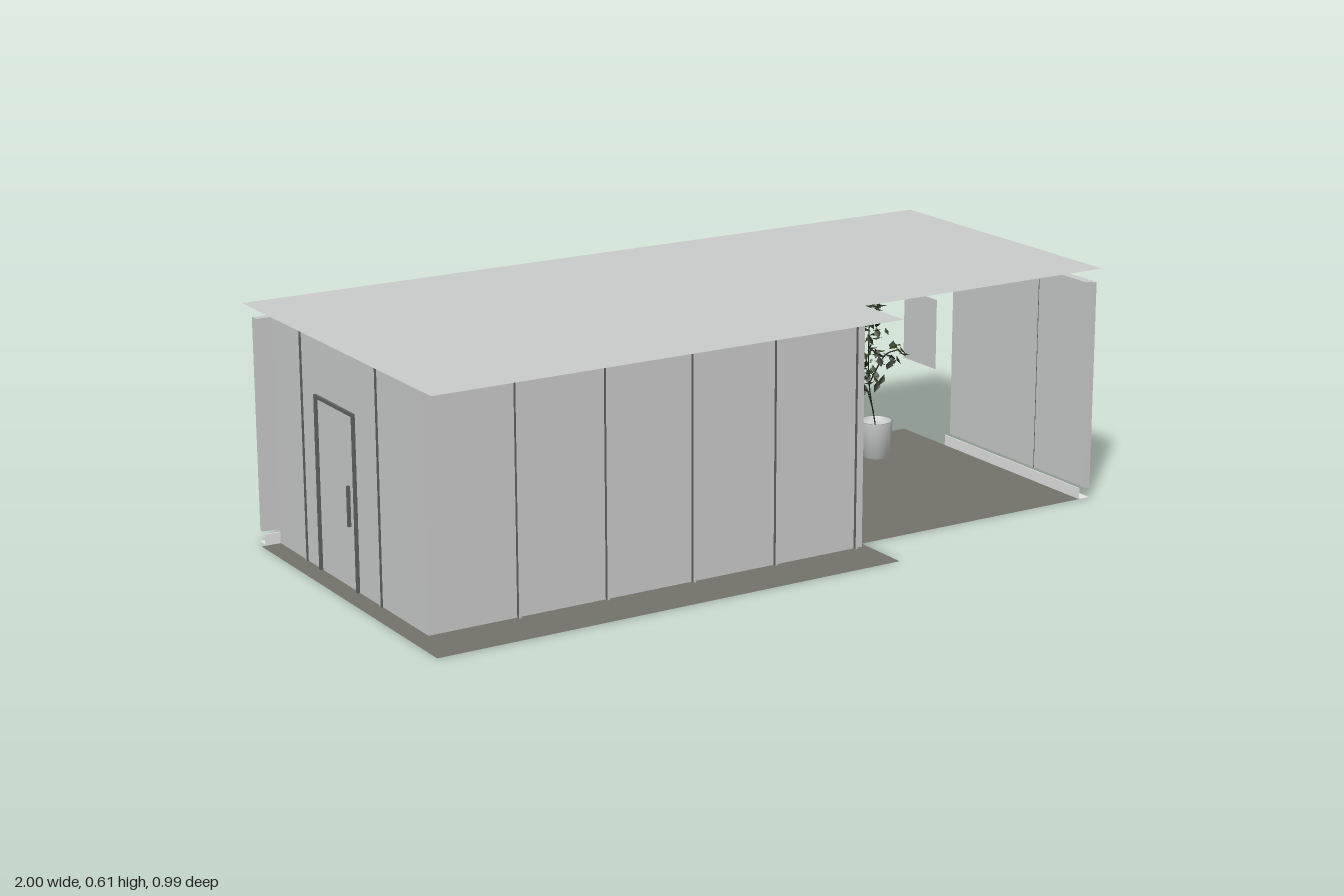
import * as THREE from 'three';

export function createModel() {
  const root = new THREE.Group();
  const mat = (name, color, side = THREE.FrontSide) => {
    const m = new THREE.MeshStandardMaterial({ color, side });
    m.name = name;
    return m;
  };
  const wall = mat('wallGrey', 0xcacccb, THREE.DoubleSide);
  const trim = mat('paleTrim', 0xe4e5e4, THREE.DoubleSide);
  const ground = mat('floorGrey', 0x73726a, THREE.DoubleSide);
  const seam = mat('seamGrey', 0x606261);
  const leafDark = mat('leafDark', 0x1e2416, THREE.DoubleSide);
  const leafGreen = mat('leafGreen', 0x2c381c, THREE.DoubleSide);

  const add = (name, geo, material, parent = root) => {
    const m = new THREE.Mesh(geo, material);
    m.name = name;
    parent.add(m);
    return m;
  };
  // Box given by its two opposite corners
  const box = (name, x0, x1, y0, y1, z0, z1, material = wall, parent = root) => {
    const m = add(name, new THREE.BoxGeometry(x1 - x0, y1 - y0, z1 - z0), material, parent);
    m.position.set((x0 + x1) / 2, (y0 + y1) / 2, (z0 + z1) / 2);
    return m;
  };
  // Flat horizontal sheet from plan corners [x, z]
  const sheet = (name, pts, y, material) => {
    const shape = new THREE.Shape(pts.map(([x, z]) => new THREE.Vector2(x, -z)));
    const g = new THREE.ShapeGeometry(shape);
    g.rotateX(-Math.PI / 2);
    add(name, g, material).position.y = y;
  };

  // Roof and floor with the stepped plan
  sheet('roof', [[-1, 0.49], [0.265, 0.49], [0.265, 0.33], [1, 0.33], [1, -0.5], [-1, -0.5]], 0.606, wall);
  sheet('floor', [[-1, 0.49], [0.265, 0.49], [0.265, 0.33], [0.95, 0.33], [0.95, -0.44], [-1, -0.44]], 0, ground);

  // Enclosed room: front, inner side and entrance walls
  const H = 0.604;
  box('frontWall', -0.95, 0.25, 0.001, H, 0.345, 0.352);
  box('innerSideWall', 0.243, 0.25, 0.001, H, -0.44, 0.345);
  box('entranceWall', -0.95, -0.943, 0.001, H, -0.44, 0.345);

  // Slim joint ribs: wall-coloured face, dark flanks
  const ribZ = [seam, seam, wall, wall, wall, wall];
  const ribX = [wall, wall, wall, wall, seam, seam];
  for (const x of [-0.717, -0.48, -0.242, -0.008, 0.228])
    box('frontRib', x - 0.003, x + 0.003, 0.001, H, 0.352, 0.361, ribZ);
  for (const z of [-0.28, 0.12])
    box('entranceRib', -0.956, -0.95, 0.001, H, z - 0.003, z + 0.003, ribX);

  // Entrance door frame and handle
  const door = new THREE.Group();
  door.name = 'door';
  root.add(door);
  for (const z of [-0.2, 0])
    box('doorJamb', -0.957, -0.95, 0.001, 0.44, z - 0.004, z + 0.004, seam, door);
  box('doorHead', -0.957, -0.95, 0.432, 0.44, -0.2, 0, seam, door);
  box('doorHandle', -0.964, -0.957, 0.16, 0.26, -0.026, -0.018, seam, door);

  // Hanging panels along the back
  const backSeams = [-0.99, -0.655, -0.295, 0.064, 0.752];
  for (let i = 0; i < 4; i++)
    box('backPanel', backSeams[i] + 0.003, backSeams[i + 1] - 0.003, 0.03, 0.575, -0.474, -0.462);
  for (const x of backSeams.slice(1, 4))
    box('backJoint', x - 0.006, x + 0.006, 0.03, 0.575, -0.476, -0.46, ribZ);
  box('backTopRail', -0.99, 0.752, 0.565, 0.578, -0.456, -0.44);
  box('backSill', -0.99, 0.752, 0.001, 0.03, -0.442, -0.438, trim);
  box('backLedge', -0.99, 0.752, 0, 0.003, -0.474, -0.442, trim);
  // Inner beams above the terrace
  for (const [a, b] of [[0.25, 0.385], [0.395, 0.745]])
    box('terraceBeam', a, b, 0.535, 0.565, -0.45, -0.44);

  // Hanging panels along the right end
  const sideSeams = [-0.248, 0.116, 0.337];
  for (let i = 0; i < 2; i++)
    box('sidePanel', 0.965, 0.978, 0.03, 0.575, sideSeams[i] + (i ? 0.003 : 0), sideSeams[i + 1] - (i ? 0 : 0.003));
  box('sideJoint', 0.963, 0.981, 0.03, 0.575, 0.11, 0.122, ribX);
  box('sideTopRail', 0.945, 0.965, 0.565, 0.578, -0.248, 0.337);
  box('sideSill', 0.948, 0.951, 0.001, 0.03, -0.248, 0.33, trim);
  box('sideLedge', 0.951, 0.978, 0, 0.003, -0.248, 0.337, trim);

  // Thin free-hanging board at the open corner
  box('hangingBoard', 0.944, 0.946, 0.206, 0.4, -0.441, -0.295);

  // Potted plant
  const plant = new THREE.Group();
  plant.name = 'plant';
  plant.position.set(0.73, 0, -0.268);
  root.add(plant);
  const potProfile = [[0, 0.001], [0.037, 0.001], [0.046, 0.1], [0.041, 0.1], [0.039, 0.085], [0, 0.085]];
  add('pot', new THREE.LatheGeometry(potProfile.map(([x, y]) => new THREE.Vector2(x, y)), 24), wall, plant);
  const V = (x, y, z) => new THREE.Vector3(x, y, z);
  const stems = [
    [V(0, 0.08, 0), V(-0.01, 0.2, -0.02), V(-0.02, 0.33, -0.01), V(-0.01, 0.44, -0.02)],
    [V(-0.01, 0.2, -0.02), V(0.03, 0.28, 0), V(0.06, 0.29, 0.01)],
    [V(0, 0.12, -0.01), V(-0.01, 0.19, -0.04), V(-0.01, 0.18, -0.07)],
  ];
  for (const s of stems)
    add('stem', new THREE.TubeGeometry(new THREE.CatmullRomCurve3(s), 12, 0.0018, 5), leafDark, plant);

  // Folded pointed leaf, base at the origin, tip along +y
  const leafGeo = new THREE.BufferGeometry();
  leafGeo.setAttribute('position', new THREE.Float32BufferAttribute(
    [0, 0, 0, 0.3, 0.45, 0.1, 0, 1, 0, -0.3, 0.45, 0.1], 3));
  leafGeo.setIndex([0, 1, 2, 0, 2, 3]);
  leafGeo.computeVertexNormals();

  let seed = 11;
  const rnd = () => (seed = (seed * 16807) % 2147483647) / 2147483647;
  // Leaf clusters: centre, half-size, count
  const clusters = [
    [V(-0.02, 0.42, -0.015), V(0.03, 0.035, 0.035), 26],
    [V(-0.02, 0.34, -0.005), V(0.035, 0.05, 0.025), 34],
    [V(-0.015, 0.25, -0.005), V(0.035, 0.045, 0.025), 26],
    [V(0.05, 0.29, 0.005), V(0.022, 0.03, 0.02), 14],
    [V(-0.01, 0.185, -0.055), V(0.012, 0.012, 0.018), 9],
  ];
  for (const [c, r, n] of clusters)
    for (let i = 0; i < n; i++) {
      const leaf = add('leaf', leafGeo, i % 3 ? leafDark : leafGreen, plant);
      leaf.position.set(
        c.x + (rnd() * 2 - 1) * r.x, c.y + (rnd() * 2 - 1) * r.y, c.z + (rnd() * 2 - 1) * r.z);
      leaf.rotation.set(1.2 + rnd() * 1.6, rnd() * 6.28, 0, 'YXZ');
      leaf.scale.setScalar(0.022 + rnd() * 0.016);
    }

  return root;
}
